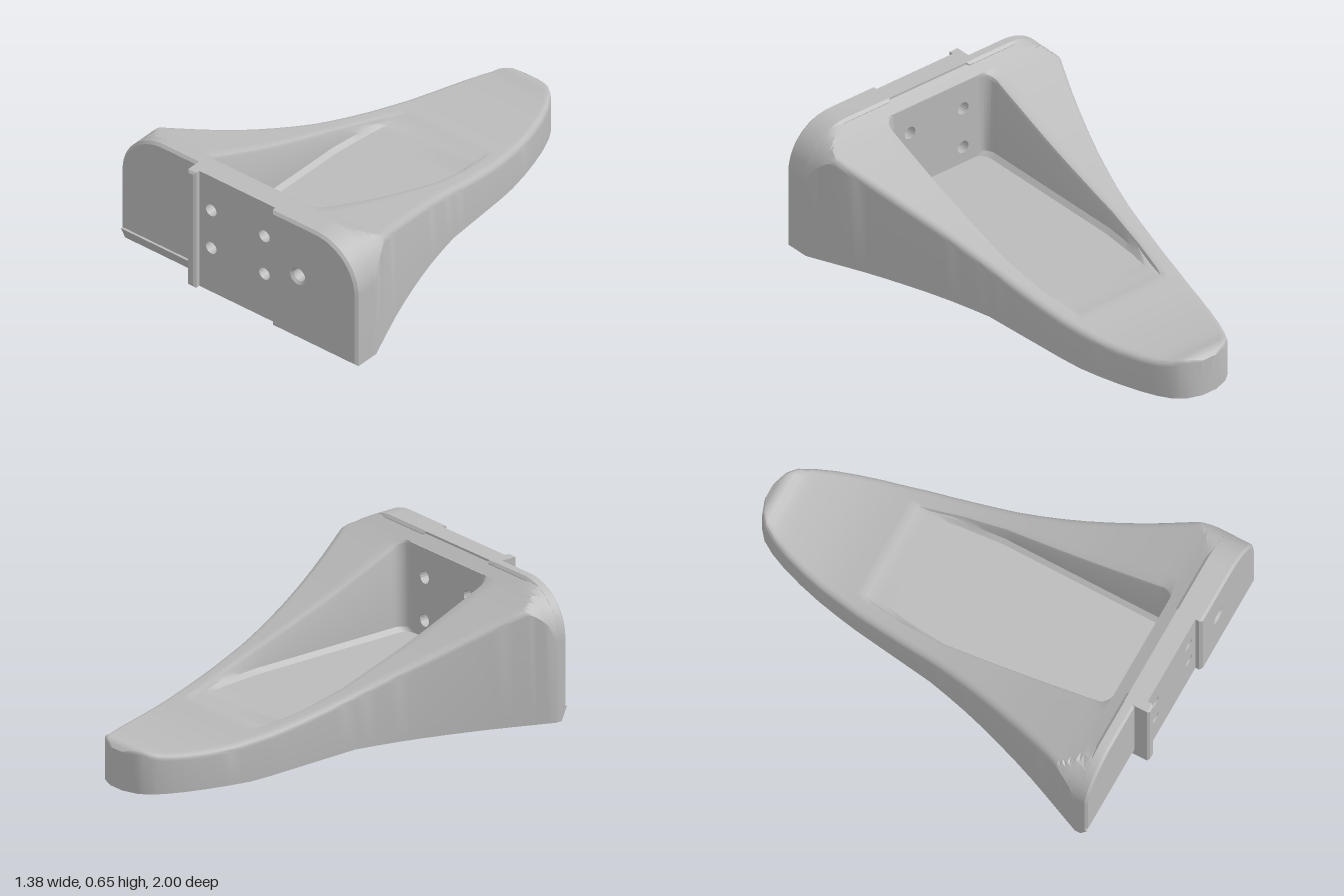
import * as THREE from 'three';
import { toCreasedNormals } from 'three/addons/utils/BufferGeometryUtils.js';

const TOP = 0.655, BASE = 0.05, W = 0.69, R = 0.235, FLOOR = 0.2;

// Curves along z: top height, half width of the outline, half width of the pocket
function curve(Type, pairs) {
  const f = new Type(pairs.map(p => p[0]), pairs.map(p => p[1]), 1, new Float32Array(1));
  return z => f.evaluate(z)[0];
}
const topAt = curve(THREE.CubicInterpolant, [[-1, 0.177], [-0.97, 0.195], [-0.9, 0.182], [-0.8, 0.176], [-0.6, 0.18],
  [-0.4, 0.207], [-0.2, 0.25], [0, 0.305], [0.2, 0.37], [0.4, 0.44], [0.6, 0.52], [0.8, 0.605], [0.9, TOP]]);
const widthAt = curve(THREE.LinearInterpolant, [[-1, 0.04], [-0.975, 0.11], [-0.94, 0.153], [-0.88, 0.19], [-0.8, 0.225],
  [-0.7, 0.258], [-0.6, 0.285], [-0.4, 0.327], [-0.2, 0.36], [0, 0.393], [0.1, 0.415], [0.2, 0.44], [0.3, 0.469],
  [0.4, 0.502], [0.5, 0.537], [0.6, 0.575], [0.7, 0.617], [0.8, 0.66], [0.87, W], [1, W]]);
const pocketAt = curve(THREE.LinearInterpolant, [[-0.42, 0.23], [-0.2, 0.27], [0, 0.29], [0.77, 0.29],
  [0.79, 0.284], [0.805, 0.273], [0.815, 0.26], [0.82, 0.24]]);

// One closed cross-section, counter-clockwise seen from the front
function section(z, hollow) {
  const w = widthAt(z), h = topAt(z);
  const b = BASE * THREE.MathUtils.clamp((z + 0.5) / 0.5, 0, 1);
  const open = hollow && z > -0.42;
  const p = open ? pocketAt(z) : Math.min(w * 0.72, 0.24);
  const f = open ? Math.min(FLOOR, h) : h;
  const e = Math.min(0.02, w * 0.12), r = Math.min(0.03, w * 0.2);
  const top = x => {
    const k = Math.max(0, r - (w - x));
    const corner = x > W - R ? TOP - R + Math.sqrt(Math.max(0, R * R - (x - W + R) ** 2)) : TOP;
    return Math.min(h - r + Math.sqrt(Math.max(0, r * r - k * k)), corner);
  };
  const half = [[w, b]];
  for (const d of [0, 0.05, 0.2, 0.5, 1]) half.push([w - r * d, top(w - r * d)]);
  for (let i = 1; i <= 8; i++) {
    const x = THREE.MathUtils.lerp(w - r, p + e, (i / 8) ** 1.4);
    half.push([x, top(x)]);
  }
  const lip = Math.max(f, h - 0.02);
  half.push([p + e * 0.3, Math.max(f, h - 0.006)], [p, lip]);
  half.push([p * 0.97, Math.min(lip, f + 0.02)], [p * 0.9, f]);
  const mirrored = half.map(([x, y]) => [-x, y]).reverse();
  return [...half, [0, f], ...mirrored].map(([x, y]) => [x, y, z]);
}

function loft(stations, hollow, capBack) {
  const rings = stations.map(z => section(z, hollow));
  const n = rings[0].length, index = [];
  for (let i = 0; i < rings.length - 1; i++) {
    for (let j = 0; j < n; j++) {
      const a = i * n + j, b = i * n + (j + 1) % n;
      index.push(a, b, b + n, a, b + n, a + n);
    }
  }
  if (capBack) for (let j = 1; j < n - 1; j++) index.push(0, j + 1, j);
  const g = new THREE.BufferGeometry();
  g.setAttribute('position', new THREE.Float32BufferAttribute(rings.flat(2), 3));
  g.setIndex(index);
  return toCreasedNormals(g, 0.5);
}

function circle(x, y, r) {
  return new THREE.Path().absarc(x, y, r, 0, Math.PI * 2, true);
}

function rect(x0, x1, y0, y1) {
  return new THREE.Shape([[x0, y0], [x1, y0], [x1, y1], [x0, y1]].map(p => new THREE.Vector2(...p)));
}

// Extrude a front outline between two depths, with an optional small edge bevel
function slab(shape, z0, z1, bevel = 0, curveSegments = 8) {
  return new THREE.ExtrudeGeometry(shape, {
    depth: z1 - z0 - 2 * bevel, curveSegments, bevelEnabled: bevel > 0,
    bevelThickness: bevel, bevelSize: bevel, bevelOffset: -bevel, bevelSegments: 1,
  }).translate(0, 0, z0 + bevel);
}

// Flange half with one large rounded upper corner
function padShape(x0, y0) {
  const s = new THREE.Shape();
  s.moveTo(x0, y0);
  s.lineTo(W, y0);
  s.lineTo(W, TOP - R);
  s.absarc(W - R, TOP - R, R, 0, Math.PI / 2);
  s.lineTo(x0, TOP);
  return s;
}

export function createModel() {
  const group = new THREE.Group();
  const grey = new THREE.MeshStandardMaterial({ color: 0xbababa });
  grey.name = 'grey';
  const add = (name, geometry) => {
    const m = new THREE.Mesh(geometry, grey);
    m.name = name;
    group.add(m);
    return m;
  };

  // Tongue-shaped body with its open pocket
  const stations = [-1, -0.985, -0.975, -0.96, -0.94, -0.91, -0.88, -0.84];
  for (let z = -0.8; z < -0.43; z += 0.05) stations.push(z);
  stations.push(-0.421);
  for (let z = -0.4; z < 0.76; z += 0.05) stations.push(z);
  stations.push(0.77, 0.79, 0.805, 0.815, 0.82);
  add('body', loft(stations, true, true));
  add('bodyFront', loft([0.82, 0.84, 0.87, 0.89], false, false));

  // Recessed mounting wall with four through holes
  const drill = shape => {
    for (const x of [-0.15, 0.148]) for (const y of [0.28, 0.478]) shape.holes.push(circle(x, y, 0.03));
    return shape;
  };
  add('pocketWall', slab(drill(rect(-0.25, 0.25, BASE, topAt(0.82) - 0.003)), 0.82, 0.89));
  add('mountingPlate', slab(drill(rect(-0.24, 0.215, BASE, TOP)), 0.88, 0.97));

  // Left pad with a countersunk blind hole
  const leftShape = padShape(0.21, BASE);
  leftShape.holes.push(circle(0.36, 0.38, 0.031));
  add('leftPad', toCreasedNormals(slab(leftShape, 0.87, 1, 0.012, 16), 0.5));
  add('blindHoleBottom', new THREE.CircleGeometry(0.032, 16).translate(0.36, 0.38, 0.93));

  // Right pad, set further back, with a chamfered lower edge
  const rightPad = add('rightPad', toCreasedNormals(slab(padShape(0.24, 0.115), 0.87, 0.93, 0.012, 16), 0.5));
  rightPad.scale.x = -1;
  const wedge = new THREE.Shape([[0.87, BASE], [0.9, BASE], [0.93, 0.115], [0.87, 0.115]].map(p => new THREE.Vector2(...p)));
  add('rightPadChamfer', new THREE.ExtrudeGeometry(wedge, { depth: 0.44, bevelEnabled: false })
    .rotateY(-Math.PI / 2).translate(-0.25, 0, 0));

  // Upright locating rib
  add('rib', slab(rect(-0.262, -0.217, BASE, TOP), 0.87, 1, 0.01));
  return group;
}
